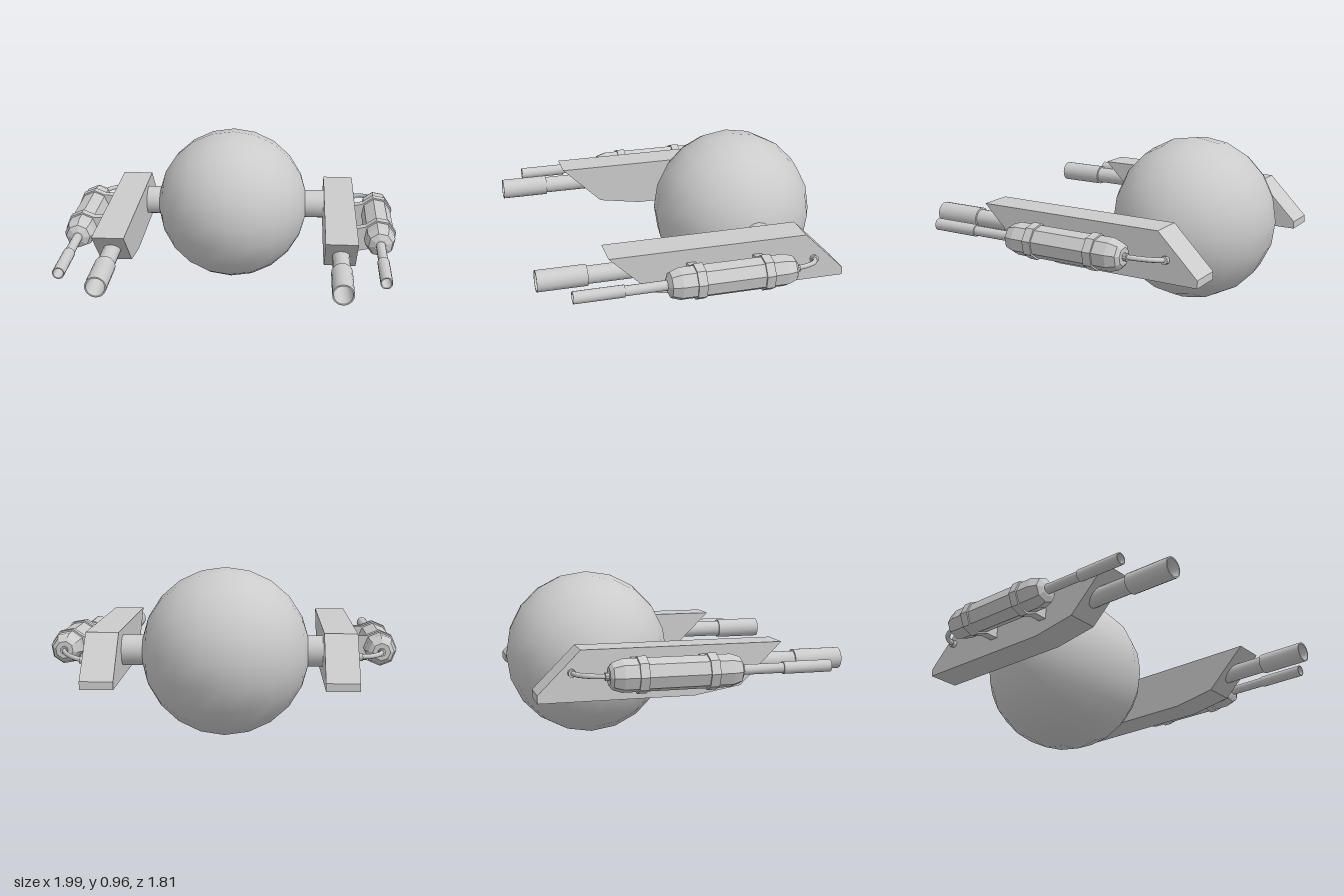
import * as THREE from 'three';
import { toCreasedNormals } from 'three/addons/utils/BufferGeometryUtils.js';

const smooth = new THREE.MeshStandardMaterial({ color: 0xcccccc });
const faceted = new THREE.MeshStandardMaterial({ color: 0xcccccc, flatShading: true });

function add(parent, name, geometry, material = smooth, position = [0, 0, 0]) {
  const mesh = new THREE.Mesh(geometry, material);
  mesh.name = name;
  mesh.position.set(...position);
  parent.add(mesh);
  return mesh;
}

// Turned part along z; the profile is [radius, z] from back to front
function turned(profile, sides) {
  const points = profile.map(([r, z]) => new THREE.Vector2(r, z));
  return toCreasedNormals(new THREE.LatheGeometry(points, sides).rotateX(Math.PI / 2), 0.6);
}

// Ball turned about the x axis, flattened slightly at both hubs
function ballGeometry(radius) {
  const points = [];
  for (let k = -5; k <= 5; k++) {
    const a = (k * Math.PI) / 5.5 / 2;
    points.push(new THREE.Vector2(radius * Math.cos(a), radius * Math.sin(a)));
  }
  points.unshift(new THREE.Vector2(0, points[0].y));
  points.push(new THREE.Vector2(0, points[points.length - 1].y));
  return new THREE.LatheGeometry(points, 20).rotateZ(-Math.PI / 2);
}

// Wedge-ended side arm, outlined in z and y
function armGeometry() {
  const outline = [[0.524, 0.612], [-0.602, 0.612], [-0.835, 0.379], [-0.835, 0.335], [0.024, 0.335], [0.286, 0.379]];
  const shape = new THREE.Shape(outline.map(([z, y]) => new THREE.Vector2(z, y)));
  const width = 0.184;
  return new THREE.ExtrudeGeometry(shape, { depth: width, bevelEnabled: false })
    .rotateY(-Math.PI / 2).translate(width / 2, 0, 0);
}

// Tank with its barrel, straps and hose, centred on the tank's axis
function createTankGun(side) {
  const gun = new THREE.Group();
  gun.name = 'tankGun';
  add(gun, 'tank', turned([
    [0, -0.485], [0.05, -0.485], [0.072, -0.468], [0.09, -0.415],
    [0.09, 0.175], [0.072, 0.228], [0.038, 0.245], [0, 0.245],
  ], 8), faceted);
  add(gun, 'smallBarrel', turned([
    [0.028, 0.2], [0.028, 0.475], [0.034, 0.475], [0.034, 0.75],
    [0.028, 0.75], [0.018, 0.55], [0, 0.55],
  ], 16));
  for (const z of [-0.311, 0.07]) {
    add(gun, 'strap', turned([[0.085, z - 0.025], [0.1, z - 0.025], [0.1, z + 0.025], [0.085, z + 0.025]], 8), faceted);
    add(gun, 'bracket', new THREE.BoxGeometry(0.11, 0.142, 0.05), faceted, [-side * 0.124, 0, z]);
  }
  // Hose bending from the tank's rear into the arm
  const path = new THREE.CatmullRomCurve3([
    [0, -0.48], [-0.008, -0.525], [-0.035, -0.585], [-0.08, -0.632], [-0.15, -0.655],
  ].map(([x, z]) => new THREE.Vector3(side * x, 0, z)));
  add(gun, 'hose', new THREE.TubeGeometry(path, 16, 0.014, 8));
  add(gun, 'hoseCollar', turned([[0, -0.505], [0.022, -0.505], [0.022, -0.48]], 10));
  add(gun, 'hoseFitting', new THREE.CylinderGeometry(0.022, 0.022, 0.035, 10).rotateZ(Math.PI / 2),
    smooth, [-side * 0.138, 0, -0.652]);
  return gun;
}

export function createModel() {
  const model = new THREE.Group();
  model.name = 'ballPod';

  add(model, 'ball', ballGeometry(0.478), smooth, [-0.017, 0.483, -0.425]);
  add(model, 'axle', new THREE.CylinderGeometry(0.088, 0.088, 1.2, 20).rotateZ(Math.PI / 2),
    smooth, [0, 0.487, -0.43]);

  for (const side of [1, -1]) {
    const arm = new THREE.Group();
    arm.name = side > 0 ? 'leftArm' : 'rightArm';
    model.add(arm);

    add(arm, 'armBody', armGeometry(), faceted, [side * 0.659, 0, 0]);
    add(arm, 'mainBarrel', turned([
      [0.05, 0.3], [0.05, 0.628], [0.06, 0.628], [0.06, 0.905],
      [0.052, 0.905], [0.046, 0.7], [0.032, 0.7], [0.032, 0.64], [0, 0.64],
    ], 20), smooth, [side * 0.659, 0.49, 0]);

    // The left tank is rolled a little about its own axis
    const gun = createTankGun(side);
    gun.position.set(side * 0.895, 0.492, 0);
    gun.rotation.z = side > 0 ? 0.21 : 0;
    arm.add(gun);
  }
  return model;
}
